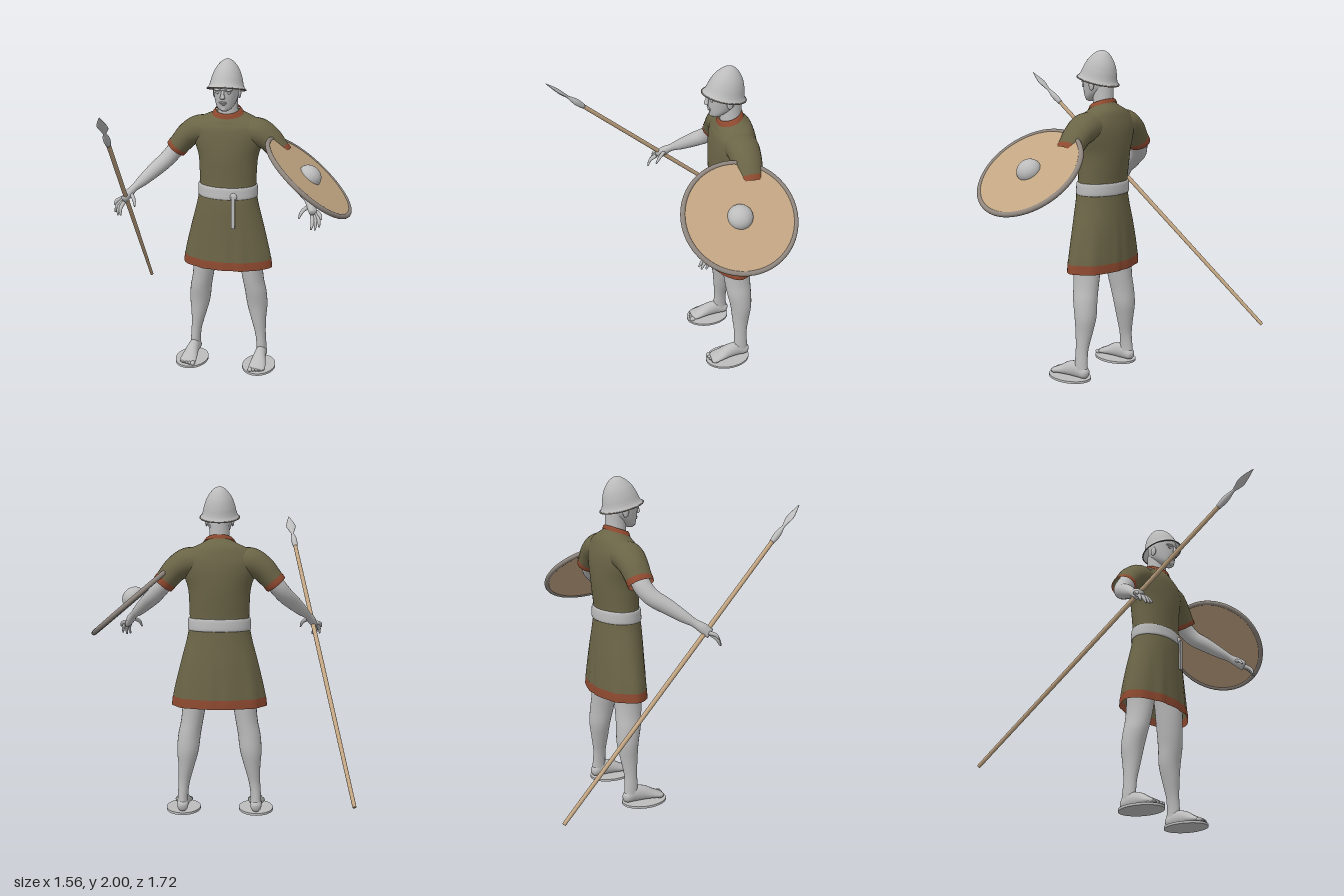
import * as THREE from 'three';

const V = (x, y, z) => new THREE.Vector3(x, y, z);
const DOWN = V(0, -1, 0), Y = V(0, 1, 0), Z = V(0, 0, 1);
const mat = (name, color) => new THREE.MeshStandardMaterial({ name, color, side: THREE.DoubleSide });

// Smooth skin through elliptical sections [x, y, z, radiusU, radiusV]; V follows "up", U is across
function loft(sections, { sides = 24, steps = 4, dir = null, up = Z, capStart = true, capEnd = true, warp = null } = {}) {
  const path = new THREE.CatmullRomCurve3(sections.map(s => V(s[0], s[1], s[2])), false, 'catmullrom');
  const size = new THREE.CatmullRomCurve3(sections.map(s => V(s[3], s[4], 0)), false, 'catmullrom');
  const rows = (sections.length - 1) * steps, pos = [], idx = [];
  for (let i = 0; i <= rows; i++) {
    const k = i / rows, c = path.getPoint(k), r = size.getPoint(k);
    const t = dir || path.getTangent(k);
    const v = up.clone().addScaledVector(t, -up.dot(t)).normalize();
    const u = v.clone().cross(t);
    for (let j = 0; j < sides; j++) {
      const a = (j / sides) * Math.PI * 2;
      const p = c.clone().addScaledVector(u, Math.cos(a) * r.x).addScaledVector(v, Math.sin(a) * r.y);
      if (warp) warp(p);
      pos.push(p.x, p.y, p.z);
    }
  }
  for (let i = 0; i < rows; i++) for (let j = 0; j < sides; j++) {
    const a = i * sides + j, b = i * sides + (j + 1) % sides;
    idx.push(a, b, a + sides, b, b + sides, a + sides);
  }
  const cap = (row, s, flip) => {
    const n = pos.length / 3;
    pos.push(s[0], s[1], s[2]);
    for (let j = 0; j < sides; j++) {
      const a = row * sides + j, b = row * sides + (j + 1) % sides;
      flip ? idx.push(n, b, a) : idx.push(n, a, b);
    }
  };
  if (capStart) cap(0, sections[0], true);
  if (capEnd) cap(rows, sections[sections.length - 1], false);
  const g = new THREE.BufferGeometry();
  g.setAttribute('position', new THREE.Float32BufferAttribute(pos, 3));
  g.setIndex(idx);
  g.computeVertexNormals();
  return g;
}

// Tilts the neckline and ripples the skirt
function clothWarp(p) {
  const neck = THREE.MathUtils.smoothstep(p.y, 1.58, 1.68);
  const skirt = 1 - THREE.MathUtils.smoothstep(p.y, 0.7, 1.12);
  const a = Math.atan2(p.z + 0.147, p.x);
  const k = 1 + skirt * (0.018 * Math.sin(9 * a) + 0.012 * Math.sin(14 * a + 1));
  p.set(p.x * k, p.y - neck * 0.35 * (p.z + 0.14), -0.147 + (p.z + 0.147) * k);
}

export function createModel() {
  const cloth = mat('olive cloth', 0x6b6547), trim = mat('red trim', 0x8f4a30);
  const grey = mat('plain grey', 0xbcbcbc), wood = mat('wood', 0xc2a582), rimMat = mat('rim', 0x8f867e);
  const model = new THREE.Group();
  const man = new THREE.Group();
  man.name = 'warrior';
  man.position.x = -0.016;
  model.add(man);
  const add = (parent, name, geo, material) => {
    const m = new THREE.Mesh(geo, material);
    m.name = name;
    parent.add(m);
    return m;
  };
  const ball = (name, x, y, z, sx, sy, sz) => {
    const m = add(man, name, new THREE.SphereGeometry(1, 14, 10), grey);
    m.position.set(x, y, z);
    m.scale.set(sx, sy, sz);
    return m;
  };
  const rings = list => list.map(([y, rx, z, rz]) => [0, y, z, rx, rz]);
  const body = { dir: DOWN, sides: 72, warp: clothWarp, capEnd: false };

  // Tunic with hem and collar
  add(man, 'tunic', loft(rings([
    [1.675, 0.078, -0.138, 0.068], [1.65, 0.125, -0.142, 0.088], [1.62, 0.19, -0.155, 0.108],
    [1.57, 0.23, -0.157, 0.126], [1.5, 0.222, -0.156, 0.136], [1.4, 0.19, -0.152, 0.138],
    [1.3, 0.182, -0.148, 0.132], [1.2, 0.181, -0.143, 0.126], [1.1, 0.195, -0.14, 0.136],
    [0.95, 0.233, -0.145, 0.146], [0.8, 0.268, -0.147, 0.153], [0.73, 0.281, -0.147, 0.156]]), body), cloth);
  add(man, 'hem', loft(rings([[0.735, 0.282, -0.147, 0.157], [0.71, 0.285, -0.147, 0.158], [0.68, 0.288, -0.147, 0.158]]),
    { ...body, capStart: false }), trim);
  add(man, 'collar', loft(rings([[1.695, 0.074, -0.138, 0.066], [1.69, 0.082, -0.138, 0.073], [1.668, 0.098, -0.139, 0.079]]),
    { ...body, capStart: false }), trim);

  // Belt with knot and hanging end
  add(man, 'belt', loft(rings([[1.218, 0.178, -0.143, 0.122], [1.213, 0.188, -0.143, 0.135], [1.18, 0.191, -0.143, 0.139],
    [1.147, 0.19, -0.142, 0.139], [1.142, 0.18, -0.142, 0.126]]), { dir: DOWN, sides: 48 }), grey);
  ball('beltKnot', 0.066, 1.165, -0.01, 0.022, 0.026, 0.014);
  const tail = add(man, 'beltEnd', new THREE.BoxGeometry(0.022, 0.2, 0.01), grey);
  tail.position.set(0.066, 1.065, 0.002);

  // Neck, head and face
  add(man, 'neck', loft(rings([[1.8, 0.058, -0.145, 0.062], [1.72, 0.06, -0.145, 0.063], [1.6, 0.07, -0.145, 0.066]]), { dir: DOWN }), grey);
  add(man, 'head', loft(rings([
    [1.95, 0.03, -0.115, 0.04], [1.92, 0.065, -0.11, 0.08], [1.86, 0.08, -0.1, 0.1], [1.81, 0.078, -0.103, 0.099],
    [1.77, 0.07, -0.096, 0.09], [1.735, 0.058, -0.075, 0.063], [1.71, 0.042, -0.056, 0.038],
    [1.695, 0.02, -0.05, 0.018]]), { dir: DOWN, sides: 32 }), grey);
  add(man, 'nose', loft([[0, 1.828, -0.004, 0.008, 0.008], [0, 1.8, 0.003, 0.011, 0.012],
    [0, 1.782, 0.006, 0.017, 0.012], [0, 1.774, 0, 0.01, 0.006]], { dir: DOWN, sides: 14 }), grey);
  ball('upperLip', 0, 1.753, -0.009, 0.024, 0.006, 0.009);
  ball('lowerLip', 0, 1.742, -0.013, 0.02, 0.006, 0.009);
  ball('chin', 0, 1.713, -0.027, 0.022, 0.016, 0.014);
  for (const s of [-1, 1]) {
    ball('brow', s * 0.034, 1.829, -0.013, 0.028, 0.008, 0.012).rotation.y = s * 0.35;
    ball('eye', s * 0.034, 1.811, -0.016, 0.014, 0.007, 0.007);
    ball('ear', s * 0.078, 1.795, -0.115, 0.01, 0.032, 0.019);
  }

  // Helmet with a flared, edged brim
  const helmet = new THREE.Group();
  helmet.name = 'helmet';
  helmet.position.set(0, 1.818, -0.102);
  helmet.rotation.x = -0.24;
  helmet.scale.z = 1.14;
  man.add(helmet);
  const dome = new THREE.SplineCurve([[0.119, 0], [0.107, 0.018], [0.1, 0.04], [0.093, 0.07], [0.079, 0.11],
    [0.058, 0.145], [0.034, 0.171], [0.012, 0.183], [0, 0.186]].map(p => new THREE.Vector2(...p)));
  add(helmet, 'helmetDome', new THREE.LatheGeometry(dome.getPoints(32).map(p => (p.x = Math.max(0, p.x), p)), 40), grey);
  add(helmet, 'helmetEdge', new THREE.TorusGeometry(0.118, 0.004, 8, 40).rotateX(Math.PI / 2), rimMat);

  for (const s of [-1, 1]) {
    const side = s > 0 ? 'left' : 'right';
    const m = list => list.map(([x, ...rest]) => [s * x, ...rest]);

    // Sleeve and cuff
    add(man, side + 'Sleeve', loft(m([[0.12, 1.555, -0.157, 0.085, 0.1], [0.19, 1.55, -0.159, 0.088, 0.098],
      [0.255, 1.515, -0.16, 0.078, 0.09], [0.3, 1.467, -0.158, 0.071, 0.083], [0.325, 1.437, -0.156, 0.067, 0.08]]),
      { capEnd: false }), cloth);
    add(man, side + 'Cuff', loft(m([[0.319, 1.444, -0.156, 0.069, 0.082], [0.331, 1.43, -0.156, 0.069, 0.082],
      [0.341, 1.418, -0.155, 0.067, 0.08]]), { capStart: false, capEnd: false }), trim);

    // Arm, palm, fingers and thumb
    add(man, side + 'Arm', loft(m([[0.26, 1.51, -0.16, 0.055, 0.058], [0.34, 1.415, -0.152, 0.053, 0.056],
      [0.395, 1.35, -0.115, 0.05, 0.052], [0.445, 1.303, -0.05, 0.046, 0.047], [0.505, 1.247, 0.025, 0.035, 0.036],
      [0.545, 1.21, 0.078, 0.023, 0.026], [0.57, 1.18, 0.12, 0.027, 0.032], [0.59, 1.148, 0.158, 0.02, 0.034]])), grey);
    [[0.606, 1.158, 0.14, 0.641, 1.125, 0.185], [0.602, 1.148, 0.152, 0.632, 1.082, 0.2],
      [0.593, 1.142, 0.165, 0.609, 1.07, 0.222], [0.582, 1.142, 0.174, 0.587, 1.073, 0.23],
      [0.556, 1.185, 0.118, 0.508, 1.125, 0.193]].forEach(([ax, ay, az, bx, by, bz], i) =>
      add(man, side + (i < 4 ? 'Finger' : 'Thumb'), loft(m([[ax, ay, az, 0.012, 0.012],
        [(ax + bx) / 2 + (i < 4 ? 0.008 : -0.01), (ay + by) / 2 + 0.005, (az + bz) / 2 + 0.008, 0.011, 0.011],
        [bx, by, bz, 0.005, 0.005]]), { sides: 10 }), grey));

    // Leg, foot and toes on a flat oval base
    add(man, side + 'Leg', loft(m([[0.12, 1, -0.145, 0.095, 0.1], [0.145, 0.82, -0.145, 0.085, 0.097],
      [0.155, 0.68, -0.146, 0.072, 0.09], [0.168, 0.58, -0.15, 0.068, 0.083], [0.183, 0.5, -0.157, 0.069, 0.078],
      [0.193, 0.4, -0.168, 0.066, 0.068], [0.203, 0.3, -0.165, 0.049, 0.055], [0.217, 0.2, -0.161, 0.035, 0.042],
      [0.225, 0.12, -0.161, 0.032, 0.043], [0.227, 0.06, -0.163, 0.033, 0.046]]), { dir: DOWN }), grey);
    add(man, side + 'Foot', loft(m([[0.226, 0.045, -0.214, 0.012, 0.018], [0.226, 0.05, -0.195, 0.032, 0.035],
      [0.227, 0.065, -0.14, 0.035, 0.05], [0.228, 0.06, -0.08, 0.041, 0.046], [0.23, 0.045, -0.025, 0.05, 0.031],
      [0.231, 0.034, 0.02, 0.054, 0.02], [0.23, 0.03, 0.045, 0.046, 0.013]]), { up: Y }), grey);
    [0.017, 0.012, 0.011, 0.01, 0.01].forEach((r, i) =>
      ball(side + 'Toe', s * (0.192 + i * 0.0205), 0.027, 0.046 - i * i * 0.0016, r * 0.9, r * 0.85, 0.021));
    const base = add(man, side + 'Base', new THREE.CylinderGeometry(1, 1, 1, 40), grey);
    base.scale.set(0.107, 0.014, 0.145);
    base.position.set(s * 0.227, 0.007, -0.07);
  }

  // Round shield on the left forearm
  const shield = new THREE.Group();
  shield.name = 'shield';
  shield.position.set(0.513, 1.32, -0.03);
  shield.quaternion.setFromUnitVectors(Y, V(0.647, 0.763, 0).normalize());
  model.add(shield);
  add(shield, 'shieldBoard', new THREE.CylinderGeometry(0.328, 0.328, 0.018, 56), wood);
  add(shield, 'shieldRim', new THREE.TorusGeometry(0.326, 0.015, 12, 56).rotateX(Math.PI / 2), rimMat);
  const boss = add(shield, 'shieldBoss', new THREE.SphereGeometry(0.074, 28, 12, 0, Math.PI * 2, 0, Math.PI / 2), grey);
  boss.position.y = 0.008;
  boss.scale.y = 0.85;

  // Spear held in the right hand
  const butt = V(-0.77, 0.26, -0.85), tip = V(-0.47, 1.82, 0.86);
  const aim = tip.clone().sub(butt).normalize();
  const along = (d, a, b) => [...tip.clone().addScaledVector(aim, -d).toArray(), a, b];
  const spear = new THREE.Group();
  spear.name = 'spear';
  model.add(spear);
  add(spear, 'spearShaft', loft([[...butt.toArray(), 0.011, 0.011], along(1.2, 0.0135, 0.0135), along(0.27, 0.013, 0.013)],
    { sides: 16 }), wood);
  add(spear, 'spearHead', loft([along(0.3, 0.015, 0.015), along(0.25, 0.02, 0.02), along(0.215, 0.018, 0.016),
    along(0.175, 0.01, 0.009), along(0.15, 0.017, 0.009), along(0.105, 0.032, 0.009), along(0.06, 0.023, 0.007),
    along(0, 0.002, 0.002)], { sides: 16, up: V(0, 0.73, -0.67) }), grey);
  return model;
}
